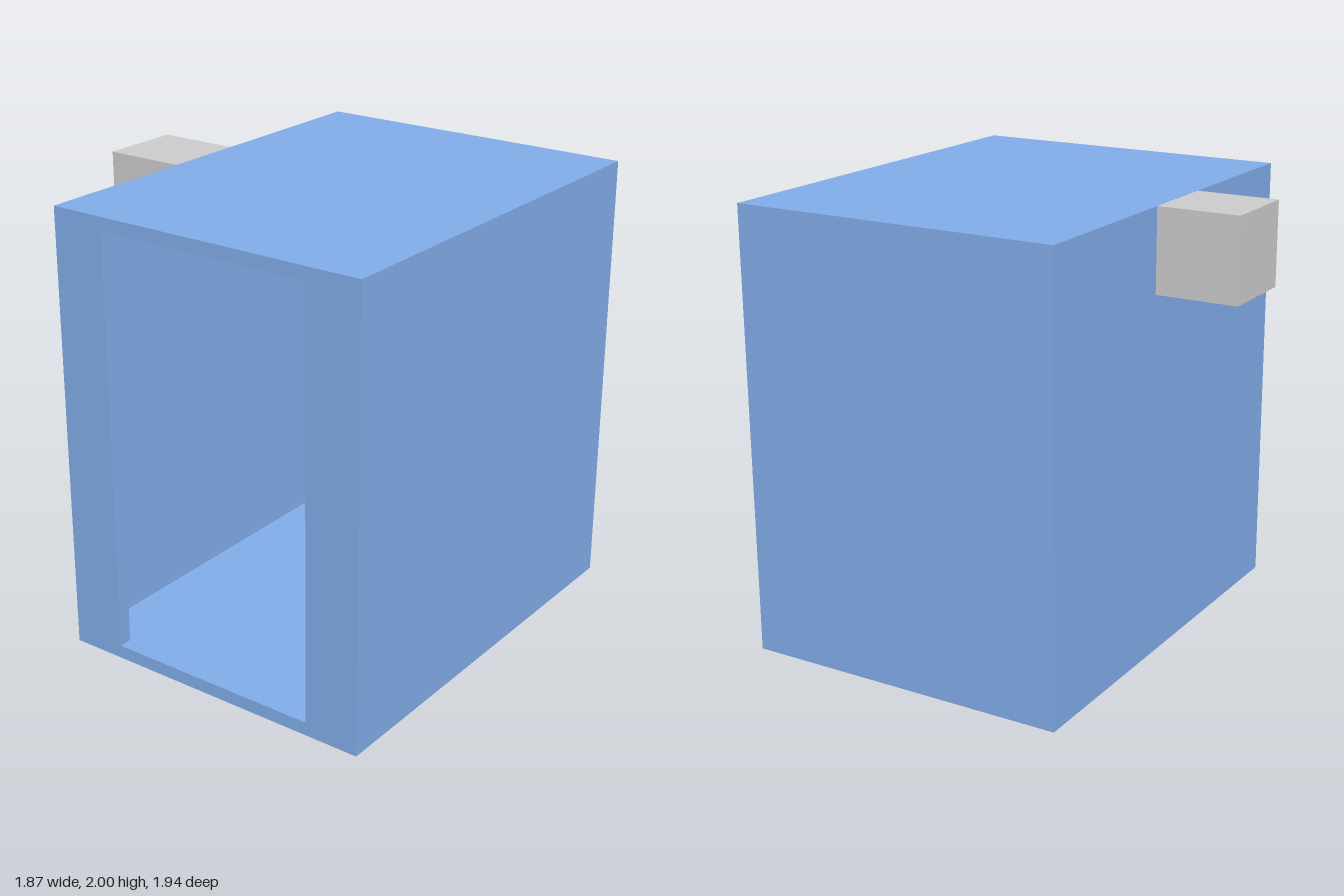
import * as THREE from 'three';

const WALL = 0.06;
const BODY = { x0: -0.565, x1: 0.935, y0: 0, y1: 2, z0: -0.97, z1: 0.97 };

// Counter-clockwise rectangle added to a shape or hole path
function rect(path, x0, y0, x1, y1) {
  path.moveTo(x0, y0);
  path.lineTo(x1, y0);
  path.lineTo(x1, y1);
  path.lineTo(x0, y1);
  path.closePath();
  return path;
}

// Rectangular frame extruded from z0 to z1 around an opening
function frame(name, material, insetX, insetY, z0, z1) {
  const { x0, x1, y0, y1 } = BODY;
  const shape = rect(new THREE.Shape(), x0, y0, x1, y1);
  shape.holes.push(rect(new THREE.Path(), x0 + insetX, y0 + insetY, x1 - insetX, y1 - insetY));
  const geometry = new THREE.ExtrudeGeometry(shape, { depth: z1 - z0, bevelEnabled: false });
  geometry.translate(0, 0, z0);
  const mesh = new THREE.Mesh(geometry, material);
  mesh.name = name;
  return mesh;
}

// Box given by its minimum and maximum corners
function box(name, material, min, max) {
  const size = max.map((v, i) => v - min[i]);
  const mesh = new THREE.Mesh(new THREE.BoxGeometry(...size), material);
  mesh.position.set(...max.map((v, i) => (v + min[i]) / 2));
  mesh.name = name;
  return mesh;
}

export function createModel() {
  const blue = new THREE.MeshStandardMaterial({ color: 0x81ace9 });
  const grey = new THREE.MeshStandardMaterial({ color: 0xcccccc });
  const { x0, x1, y0, y1, z0, z1 } = BODY;

  const group = new THREE.Group();
  group.name = 'cabin';
  group.add(
    // Floor, ceiling and both side walls
    frame('shell', blue, WALL, WALL, z0 + WALL, z1 - WALL),
    // Front wall with the tall doorway
    frame('doorFrame', blue, 0.25, WALL, z1 - WALL, z1),
    // Closed back
    box('backWall', blue, [x0, y0, z0], [x1, y1, z0 + WALL]),
    // Block mounted on the outside, flush with the roof
    box('sideBlock', grey, [-0.935, 1.63, -0.15], [x0, y1, 0.22])
  );
  return group;
}
